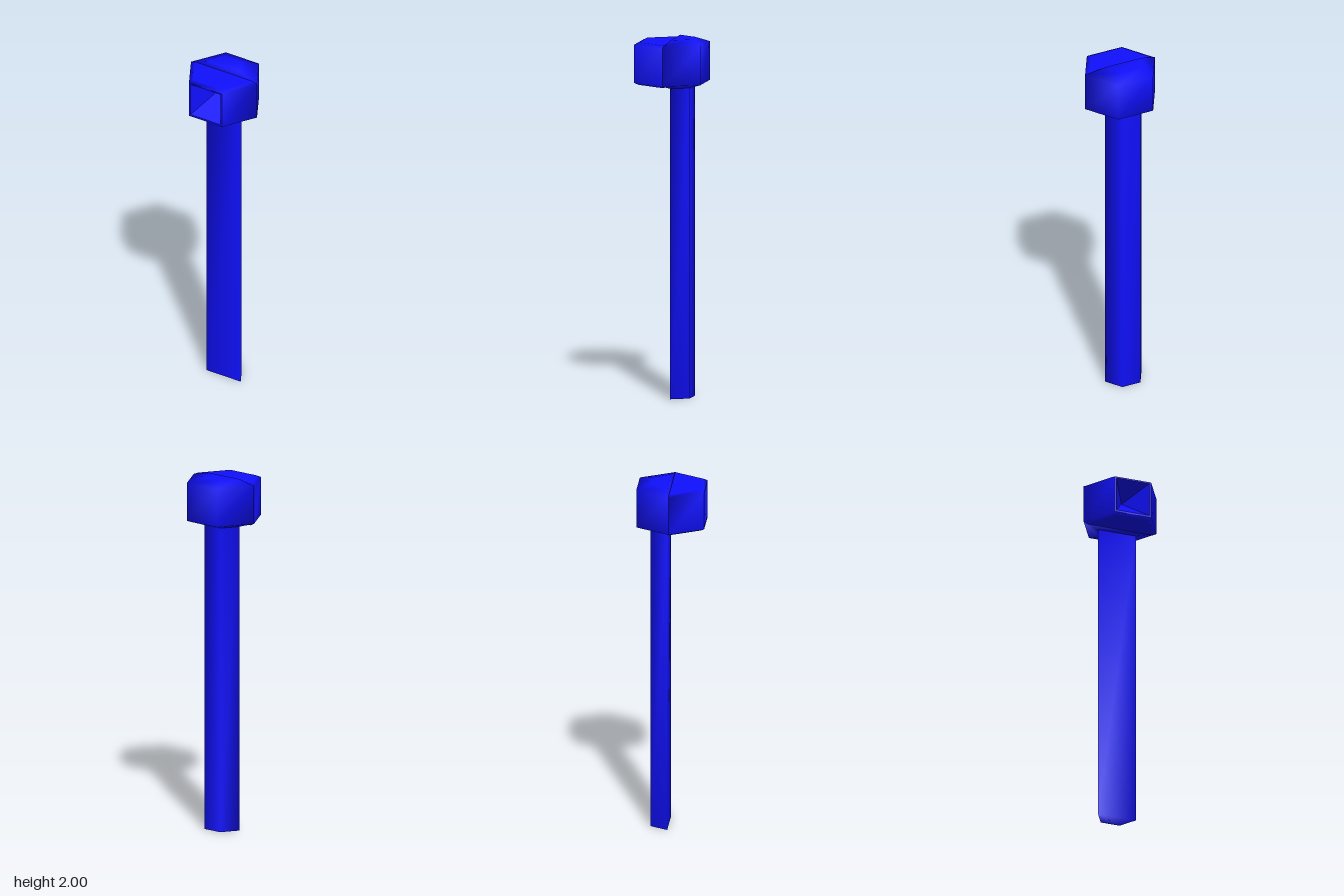
import * as THREE from 'three';

const material = new THREE.MeshStandardMaterial({ color: 0x1010ff });

// Half hexagon ring: start angle 0 is the front half, PI the back half
function halfHex(start, r, y, cx = 0, cz = 0) {
  return [0, 1, 2, 3].map((i) => {
    const a = start + (i * Math.PI) / 3;
    return [cx + r * Math.cos(a), y, cz + r * Math.sin(a)];
  });
}

// Closed loft through rings from bottom to top; skip leaves one wall of one band open
function loft(rings, skip = () => false) {
  const n = rings[0].length;
  const index = [];
  for (let k = 0; k < rings.length - 1; k++) {
    for (let i = 0; i < n; i++) {
      if (skip(k, i)) continue;
      const a = k * n + i;
      const b = k * n + ((i + 1) % n);
      index.push(a, a + n, b, b, a + n, b + n);
    }
  }
  const top = (rings.length - 1) * n;
  for (let i = 1; i < n - 1; i++) {
    index.push(0, i, i + 1, top, top + i + 1, top + i);
  }
  const g = new THREE.BufferGeometry();
  g.setAttribute('position', new THREE.Float32BufferAttribute(rings.flat(2), 3));
  g.setIndex(index);
  g.computeVertexNormals();
  return g;
}

export function createModel() {
  const group = new THREE.Group();
  const add = (name, geometry) => {
    const mesh = new THREE.Mesh(geometry, material);
    mesh.name = name;
    group.add(mesh);
    return mesh;
  };

  // Shaft: half hexagon with its flat side to the front
  const core = (y) => halfHex(Math.PI, 0.1125, y, -0.0125, -0.015);
  add('shaft', loft([core(0), core(1.74)]));

  // Back half of the head, tapering above and below to the shaft outline
  const R = 0.217;
  add('headBack', loft([
    core(1.73), halfHex(Math.PI, R, 1.757), halfHex(Math.PI, R, 1.973), core(2),
  ]));

  // Front half of the head, bevelled, with its front wall left open
  add('headFront', loft([
    halfHex(0, 0.19, 1.745), halfHex(0, R, 1.757), halfHex(0, R, 1.97), halfHex(0, 0.19, 1.982),
  ], (band, wall) => band === 1 && wall === 1));

  // Frame around the square opening
  const z = R * Math.sin(Math.PI / 3);
  const rect = (x, y0, y1) => [[-x, y0], [x, y0], [x, y1], [-x, y1]].map((p) => new THREE.Vector2(...p));
  const opening = rect(0.098, 1.768, 1.962);
  const frame = new THREE.Shape(rect(R / 2, 1.757, 1.97));
  frame.holes.push(new THREE.Path(opening));
  add('openingFrame', new THREE.ShapeGeometry(frame)).position.z = z;

  // Recess narrowing to a point inside the head
  const apex = [0, 1.89, 0.02];
  const points = opening.flatMap((p, i) => {
    const q = opening[(i + 1) % 4];
    return [p.x, p.y, z, q.x, q.y, z, ...apex];
  });
  const recess = new THREE.BufferGeometry();
  recess.setAttribute('position', new THREE.Float32BufferAttribute(points, 3));
  recess.computeVertexNormals();
  add('recess', recess);

  return group;
}
